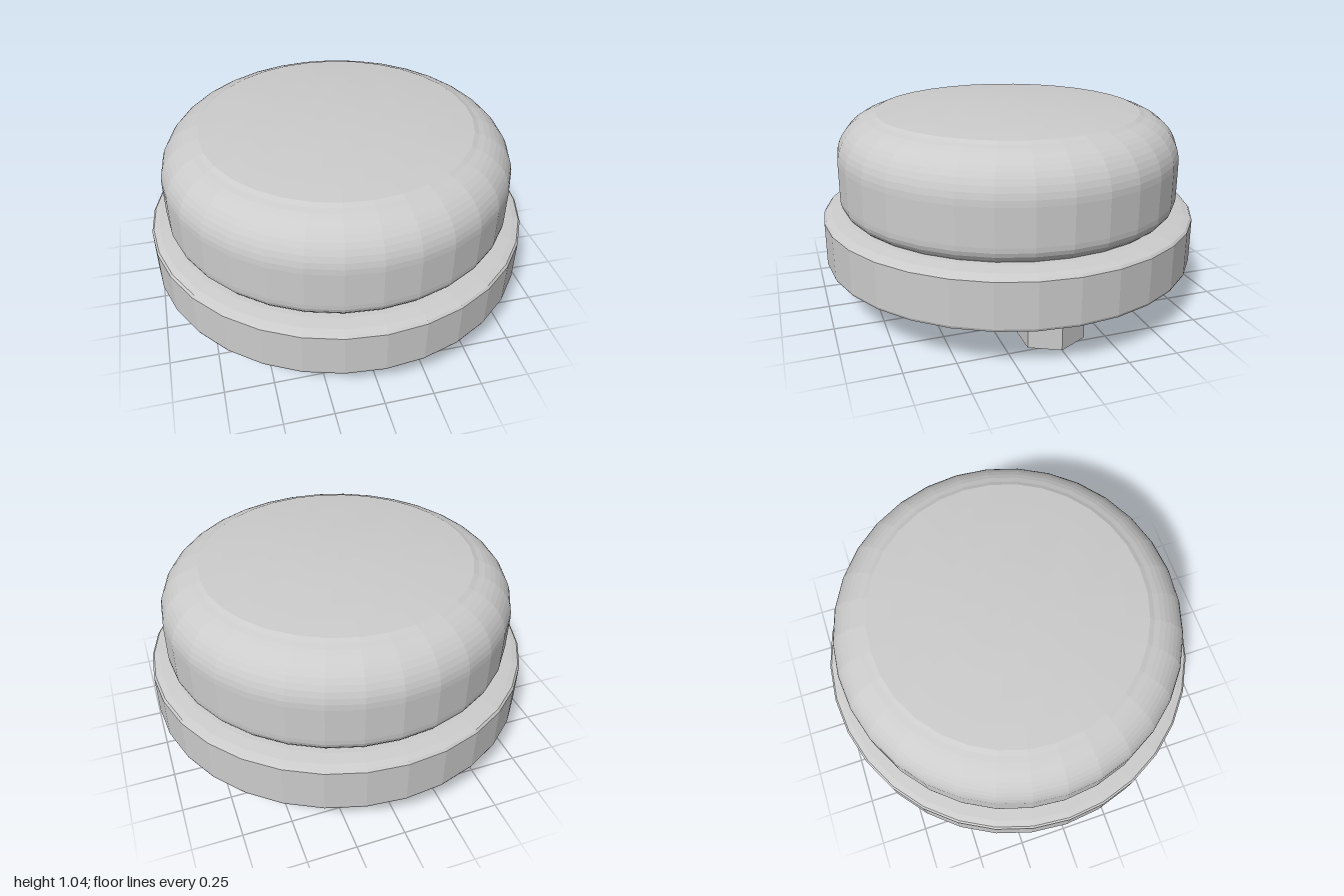
import * as THREE from 'three';

const DEPTH = 0.986; // the body is slightly shallower than wide
const grey = new THREE.MeshStandardMaterial({ color: 0xcccccc, flatShading: true });

function part(name, geometry) {
  const mesh = new THREE.Mesh(geometry, grey);
  mesh.name = name;
  return mesh;
}

// 32-sided turned shape from [radius, height] pairs, bottom to top
function turned(name, profile) {
  const points = profile.map(([r, y]) => new THREE.Vector2(r, y));
  return part(name, new THREE.LatheGeometry(points, 32));
}

// Shallow curve from the axis out to radius r, sinking or rising by h
function shallowDome(r, yCentre, yEdge, steps = 6) {
  return Array.from({ length: steps + 1 }, (_, i) => {
    const t = i / steps;
    return [r * t, yCentre + (yEdge - yCentre) * t * t];
  });
}

export function createModel() {
  const model = new THREE.Group();
  model.name = 'roundButton';
  model.scale.z = DEPTH;

  // Wide base disc with a gently bulging underside
  model.add(turned('baseDisc', [
    ...shallowDome(0.92, 0.165, 0.205),
    [0.97, 0.22], [0.995, 0.232], [1, 0.245],
    [1, 0.47], [0.99, 0.482], [0.96, 0.492], [0.9, 0.502], [0.8, 0.508], [0, 0.508],
  ]));

  // Raised cap: tucked lower edge, straight wall, rounded shoulder, low crown
  const shoulder = [];
  for (let i = 0; i <= 10; i++) {
    const a = (i / 10) * THREE.MathUtils.degToRad(75);
    shoulder.push([0.66 + 0.25 * Math.cos(a), 0.77 + 0.232 * Math.sin(a)]);
  }
  model.add(turned('cap', [
    [0, 0.5], [0.865, 0.5], [0.885, 0.517], [0.9, 0.538], [0.908, 0.56], [0.91, 0.585],
    ...shoulder,
    ...shallowDome(0.7, 1.04, 1.006).reverse(),
  ]));

  // Four six-sided feet, one on each axis, a corner pointing outwards
  const footShape = new THREE.CylinderGeometry(0.148, 0.148, 0.25, 6);
  footShape.scale(1.155, 1, 1);
  footShape.translate(0, 0.125, 0.655);
  for (let i = 0; i < 4; i++) {
    const foot = part('foot' + (i + 1), footShape);
    foot.rotation.y = (i * Math.PI) / 2;
    model.add(foot);
  }
  return model;
}
